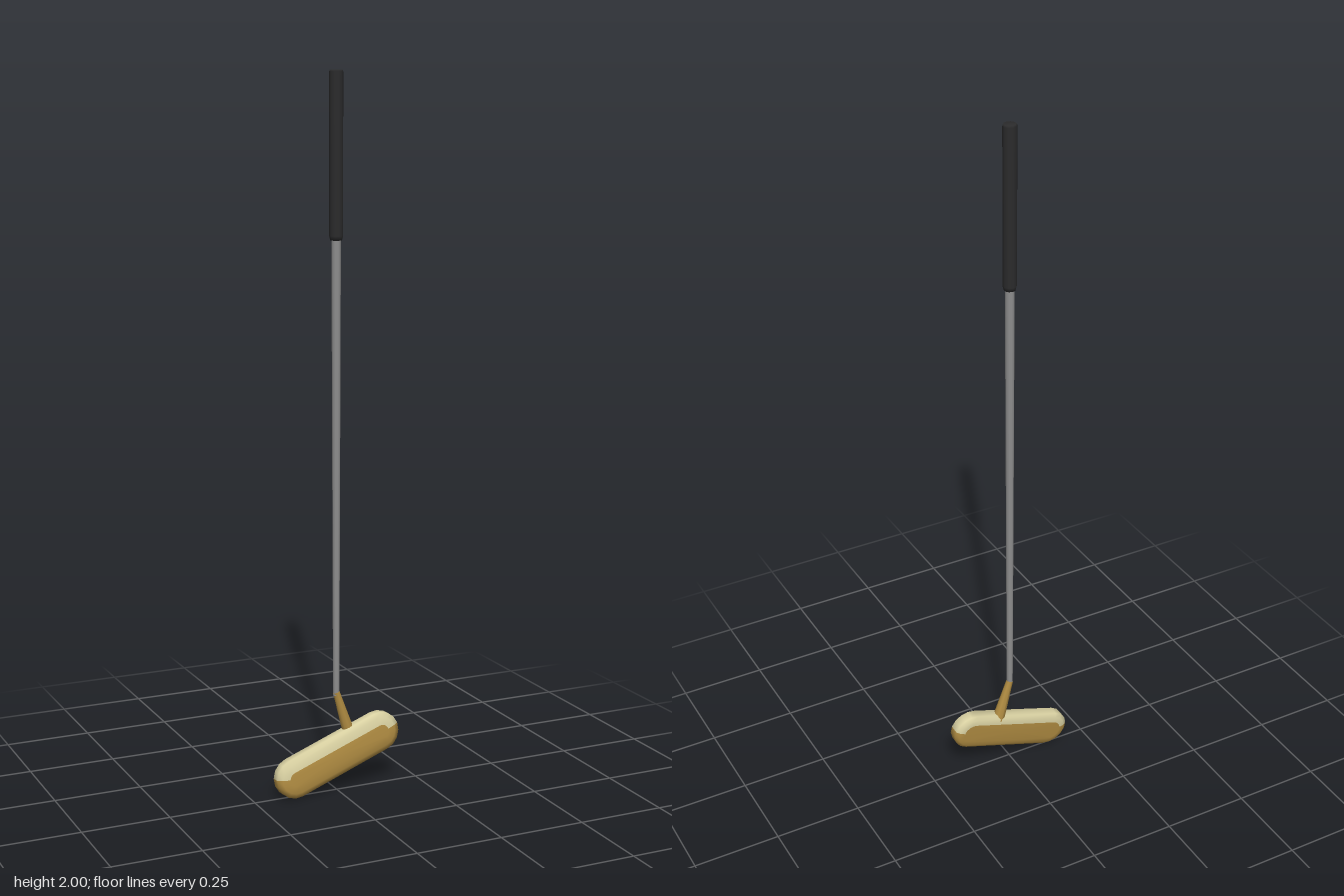
import * as THREE from 'three';

const mat = (name, color, opts = {}) => {
  const m = new THREE.MeshStandardMaterial({ color, ...opts });
  m.name = name;
  return m;
};

// Tapered round bar between two points
function bar(name, a, b, rA, rB, sides, material) {
  const dir = b.clone().sub(a);
  const mesh = new THREE.Mesh(new THREE.CylinderGeometry(rB, rA, dir.length(), sides), material);
  mesh.position.copy(a).add(b).multiplyScalar(0.5);
  mesh.quaternion.setFromUnitVectors(new THREE.Vector3(0, 1, 0), dir.normalize());
  mesh.name = name;
  return mesh;
}

// Pill-shaped head lofted from stadium loops: [radius, z], front to back
function headGeometry() {
  const halfSpan = 0.142, arc = 8;
  const loops = [[0.021, 0.024], [0.042, 0.0205], [0.056, 0.014],
    [0.056, -0.014], [0.046, -0.021], [0.03, -0.024]];
  const angles = [];
  for (const start of [-90, 90])
    for (let i = 0; i <= arc; i++) angles.push([start + i * 180 / arc, start < 0 ? 1 : -1]);
  const n = angles.length, pos = [];
  for (const [r, z] of loops)
    for (const [deg, side] of angles) {
      const t = THREE.MathUtils.degToRad(deg);
      pos.push(side * halfSpan + r * Math.cos(t), r * Math.sin(t), z);
    }
  const front = pos.length / 3, back = front + 1;
  pos.push(0, 0, loops[0][1], 0, 0, loops[loops.length - 1][1]);

  const gold = [], pale = [];
  for (let i = 0; i < n; i++) {
    const j = (i + 1) % n;
    // Upper edge is pale, everything else gold
    const upper = angles[i][0] >= 0 && angles[j][0] <= 160 && j > 0;
    for (let k = 0; k < loops.length - 1; k++) {
      const a = k * n + i, b = k * n + j;
      (upper ? pale : gold).push(a, a + n, b, b, a + n, b + n);
    }
    const last = (loops.length - 1) * n;
    gold.push(front, i, j, back, last + j, last + i);
  }
  const geo = new THREE.BufferGeometry();
  geo.setAttribute('position', new THREE.Float32BufferAttribute(pos, 3));
  geo.setIndex([...gold, ...pale]);
  geo.addGroup(0, gold.length, 0);
  geo.addGroup(gold.length, pale.length, 1);
  geo.computeVertexNormals();
  return geo;
}

export function createModel() {
  const gold = mat('gold', 0xb08c42);
  const pale = mat('pale gold', 0xd9d1a2);
  const steel = mat('steel', 0x8e8e8e);
  const rubber = mat('black rubber', 0x2b2b2c);
  const v = (x, y, z) => new THREE.Vector3(x, y, z);
  const model = new THREE.Group();
  model.name = 'putter';

  // Head, tilted along its length and leaning slightly back
  const head = new THREE.Mesh(headGeometry(), [gold, pale]);
  head.name = 'head';
  head.position.set(0, 0.105, 0);
  head.rotation.set(-0.09, 0, THREE.MathUtils.degToRad(20));
  model.add(head);

  // Neck, shaft and grip
  model.add(bar('neck', v(0.042, 0.16, -0.01), v(0.002, 0.285, -0.008), 0.018, 0.01, 8, gold));
  model.add(bar('shaft', v(0.002, 0.275, -0.008), v(0.002, 1.56, -0.008), 0.009, 0.013, 10, steel));

  const profile = [[0, 0], [0.016, 0], [0.019, 0.012], [0.019, 0.445], [0.017, 0.45], [0, 0.45]];
  const grip = new THREE.Mesh(
    new THREE.LatheGeometry(profile.map(([r, y]) => new THREE.Vector2(r, y)), 10), rubber);
  grip.name = 'grip';
  grip.position.set(0.002, 1.55, -0.008);
  model.add(grip);

  return model;
}
